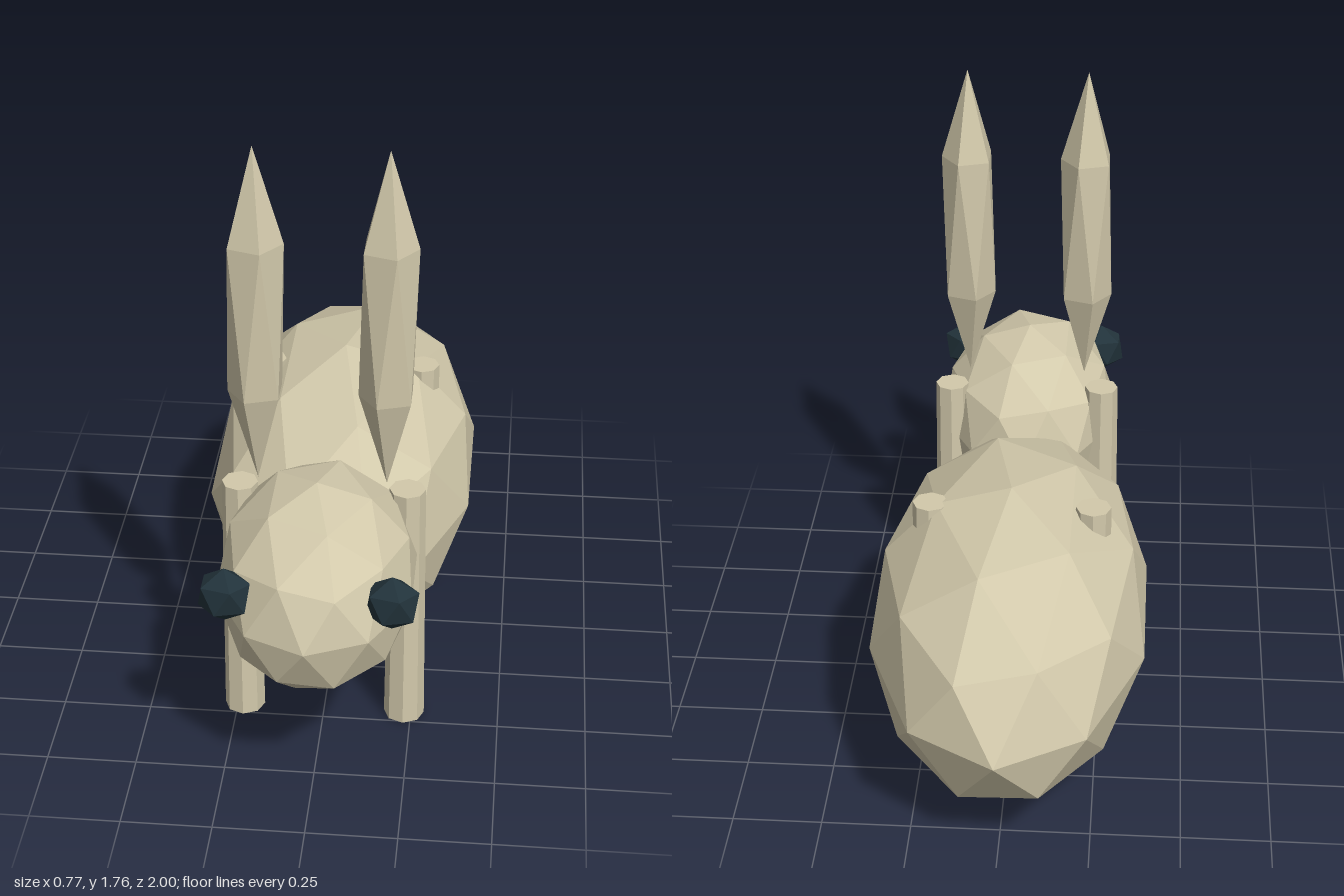
import * as THREE from 'three';

// Icosphere with its poles on the y axis, stretched to the given radii
function icosphere(detail, rx, ry, rz) {
  const geometry = new THREE.IcosahedronGeometry(1, detail);
  geometry.rotateZ(-Math.atan(2 / (1 + Math.sqrt(5))));
  geometry.scale(rx, ry, rz);
  geometry.computeVertexNormals();
  return geometry;
}

export function createModel() {
  const model = new THREE.Group();
  model.name = 'rabbit';

  const fur = new THREE.MeshStandardMaterial({ color: 0xd2c9ab, flatShading: true });
  fur.name = 'beige fur';
  const dark = new THREE.MeshStandardMaterial({ color: 0x22333b, flatShading: true });
  dark.name = 'dark eye';

  function add(name, geometry, material, x, y, z) {
    const mesh = new THREE.Mesh(geometry, material);
    mesh.name = name;
    mesh.position.set(x, y, z);
    model.add(mesh);
  }

  // Body and head
  add('body', icosphere(1, 0.405, 0.4, 0.75), fur, 0, 0.41, -0.25);
  add('head', icosphere(1, 0.275, 0.288, 0.375), fur, 0, 0.583, 0.625);

  // Paired parts
  const ear = icosphere(0, 0.0875, 0.4875, 0.0875);
  const eye = icosphere(0, 0.078, 0.08, 0.06);
  const leg = new THREE.CylinderGeometry(0.05, 0.0575, 0.755, 8);
  for (const [side, s] of [['left', 1], ['right', -1]]) {
    add(side + 'Ear', ear, fur, s * 0.175, 1.277, 0.48);
    add(side + 'Eye', eye, dark, s * 0.218, 0.67, 0.868);
    add(side + 'FrontLeg', leg, fur, s * 0.23, 0.3775, 0.45);
    add(side + 'BackLeg', leg, fur, s * 0.23, 0.3775, -0.25);
  }

  return model;
}
